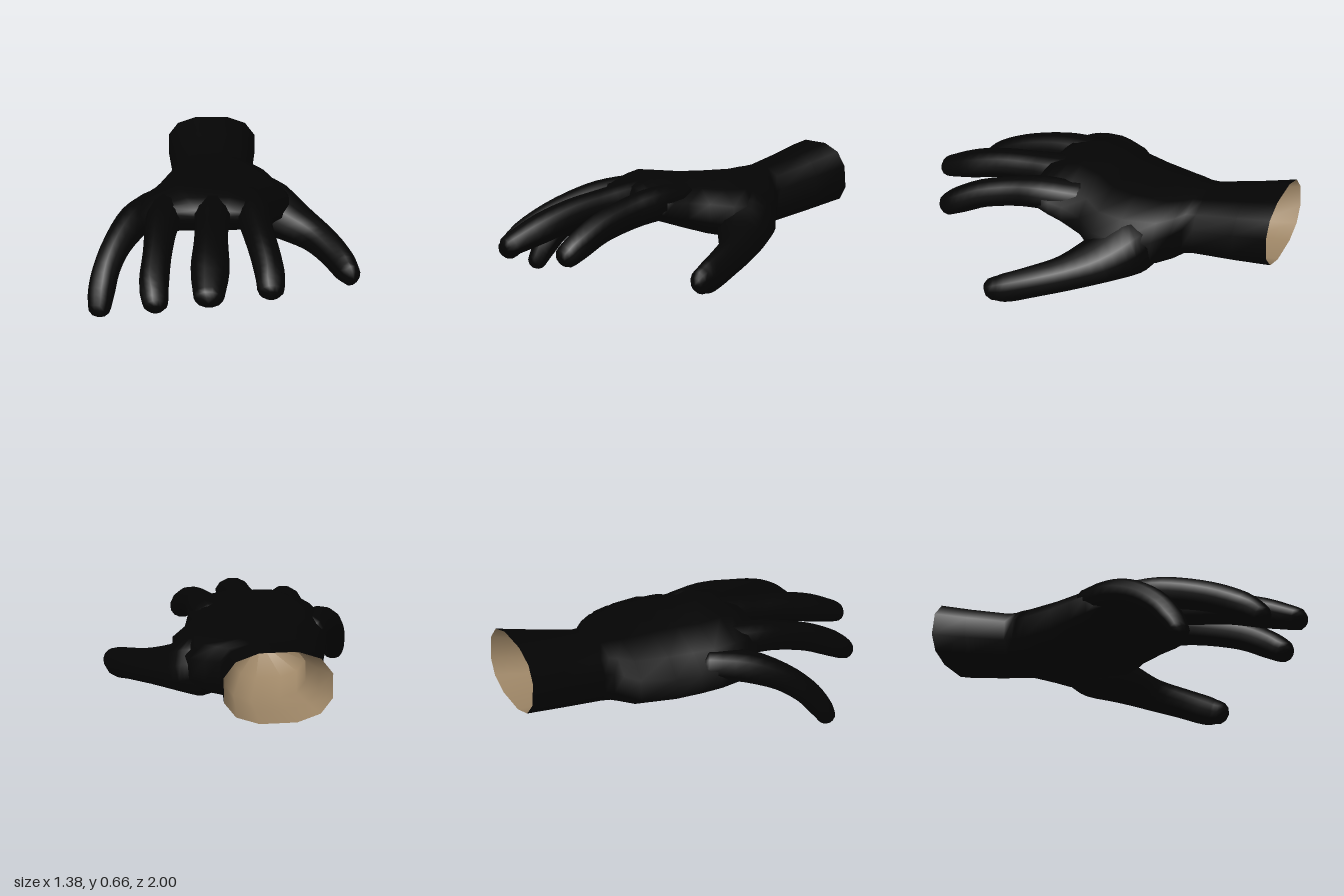
import * as THREE from 'three';

const SIDES = 12;
const black = new THREE.MeshStandardMaterial({ color: 0x040404 });
const tan = new THREE.MeshStandardMaterial({ color: 0xa08868 });

// Skin a list of closed rings, each an array of SIDES points
function loft(rings) {
  const pos = [], idx = [];
  rings.forEach(r => r.forEach(p => pos.push(p.x, p.y, p.z)));
  for (let i = 0; i < rings.length - 1; i++) {
    for (let j = 0; j < SIDES; j++) {
      const k = (j + 1) % SIDES;
      const a = i * SIDES + j, b = i * SIDES + k, c = a + SIDES, d = b + SIDES;
      idx.push(a, b, c, b, d, c);
    }
  }
  const g = new THREE.BufferGeometry();
  g.setAttribute('position', new THREE.Float32BufferAttribute(pos, 3));
  g.setIndex(idx);
  g.computeVertexNormals();
  return g;
}

// Rounded cross-section across the hand; arch lowers its edges, slant tips its top forward
function section([z, xl, xr, bottom, top, arch = 0, slant = 0]) {
  const power = v => Math.sign(v) * Math.abs(v) ** 0.8;
  return Array.from({ length: SIDES }, (_, j) => {
    const a = (j + 0.5) / SIDES * Math.PI * 2;
    const c = power(Math.cos(a)), s = power(Math.sin(a));
    const drop = arch * c * c * (c < 0 ? 1 : 0.5);
    return new THREE.Vector3((xl + xr) / 2 + c * (xr - xl) / 2 * 1.03,
      (bottom + top) / 2 + s * (top - bottom) / 2 * 1.03 - drop, z + slant * s);
  });
}

// Tapered finger along [x, y, z, half width, half height], closed at both ends
function finger(points) {
  const path = new THREE.CatmullRomCurve3(points.map(p => new THREE.Vector3(p[0], p[1], p[2])));
  const size = new THREE.CatmullRomCurve3(points.map(p => new THREE.Vector3(p[3], p[4], 0)));
  path.curveType = size.curveType = 'catmullrom';
  const rings = [];
  const addRing = (t, scale, ahead) => {
    const T = path.getTangent(t), s = size.getPoint(t);
    const side = new THREE.Vector3(0, 1, 0).cross(T).normalize();
    const up = T.clone().cross(side);
    const centre = path.getPoint(t).addScaledVector(T, ahead * s.y);
    rings.push(Array.from({ length: SIDES }, (_, j) => {
      const a = (j + 0.5) / SIDES * Math.PI * 2;
      return centre.clone().addScaledVector(side, Math.cos(a) * s.x * scale * 1.03)
        .addScaledVector(up, Math.sin(a) * s.y * scale * 1.03);
    }));
  };
  addRing(0, 0, -0.4);
  addRing(0, 0.75, -0.3);
  const steps = (points.length - 1) * 3;
  for (let i = 0; i <= steps; i++) addRing(i / steps, 1, 0);
  for (const a of [0.5, 1.0, Math.PI / 2]) addRing(1, Math.cos(a), Math.sin(a));
  return loft(rings);
}

export function createModel() {
  const hand = new THREE.Group();
  hand.name = 'glovedHand';
  const add = (name, geometry, material = black) => {
    const mesh = new THREE.Mesh(geometry, material);
    mesh.name = name;
    hand.add(mesh);
  };

  // Cuff, wrist and palm: z, left edge, right edge, bottom, top, arch, slant
  add('palmAndWrist', loft([
    [-0.985, -0.35, 0.155, 0.32, 0.66, 0, 0.015],
    [-0.8, -0.325, 0.14, 0.28, 0.61],
    [-0.58, -0.3, 0.12, 0.24, 0.55],
    [-0.53, -0.305, 0.13, 0.23, 0.545],
    [-0.49, -0.335, 0.2, 0.225, 0.545, 0.01],
    [-0.42, -0.38, 0.27, 0.215, 0.54, 0.03],
    [-0.25, -0.43, 0.33, 0.22, 0.545, 0.05],
    [-0.12, -0.465, 0.33, 0.25, 0.55, 0.06],
    [-0.02, -0.49, 0.26, 0.28, 0.56, 0.07],
    [0.1, -0.5, 0.235, 0.325, 0.575, 0.09],
    [0.18, -0.47, 0.23, 0.35, 0.56, 0.08],
    [0.24, -0.41, 0.225, 0.365, 0.54, 0.05],
    [0.285, -0.36, 0.19, 0.38, 0.52, 0.02],
    [0.31, -0.26, 0.1, 0.41, 0.49],
    [0.315, -0.07, -0.07, 0.45, 0.45],
  ].map(section)));

  // Lining from the cuff rim inwards, in reverse order so that it faces inside
  add('cuffLining', loft([
    [-0.15, -0.12, -0.12, 0.39, 0.39],
    [-0.3, -0.33, 0.04, 0.25, 0.51],
    [-0.58, -0.29, 0.11, 0.25, 0.54],
    [-0.8, -0.315, 0.13, 0.29, 0.6],
    [-0.985, -0.35, 0.155, 0.32, 0.66, 0, 0.015],
  ].map(section)), tan);

  add('indexFinger', finger([
    [0.11, 0.45, 0.05, 0.09, 0.085], [0.14, 0.445, 0.24, 0.09, 0.085],
    [0.157, 0.415, 0.4, 0.076, 0.08], [0.188, 0.365, 0.58, 0.072, 0.075],
    [0.212, 0.3, 0.71, 0.07, 0.07], [0.217, 0.255, 0.78, 0.066, 0.06],
  ]));
  add('middleFinger', finger([
    [-0.07, 0.475, 0.05, 0.09, 0.085], [-0.07, 0.455, 0.27, 0.092, 0.08],
    [-0.072, 0.43, 0.42, 0.083, 0.078], [-0.072, 0.397, 0.6, 0.084, 0.076],
    [-0.073, 0.34, 0.78, 0.092, 0.073], [-0.075, 0.275, 0.945, 0.072, 0.055],
  ]));
  add('ringFinger', finger([
    [-0.28, 0.45, 0.05, 0.09, 0.085], [-0.315, 0.435, 0.25, 0.088, 0.083],
    [-0.328, 0.408, 0.4, 0.078, 0.078], [-0.335, 0.345, 0.59, 0.069, 0.073],
    [-0.342, 0.262, 0.75, 0.071, 0.068], [-0.332, 0.202, 0.833, 0.062, 0.056],
  ]));
  add('littleFinger', finger([
    [-0.39, 0.405, -0.05, 0.08, 0.075], [-0.473, 0.38, 0.13, 0.09, 0.08],
    [-0.55, 0.31, 0.29, 0.076, 0.07], [-0.6, 0.215, 0.41, 0.068, 0.063],
    [-0.622, 0.12, 0.485, 0.066, 0.06], [-0.63, 0.05, 0.526, 0.056, 0.05],
  ]));
  add('thumb', finger([
    [0.16, 0.355, -0.345, 0.12, 0.14], [0.225, 0.325, -0.275, 0.15, 0.15],
    [0.35, 0.278, -0.16, 0.13, 0.108], [0.468, 0.238, -0.04, 0.09, 0.088],
    [0.55, 0.2, 0.09, 0.074, 0.082], [0.61, 0.158, 0.215, 0.062, 0.08],
    [0.63, 0.145, 0.272, 0.054, 0.066],
  ]));
  return hand;
}
